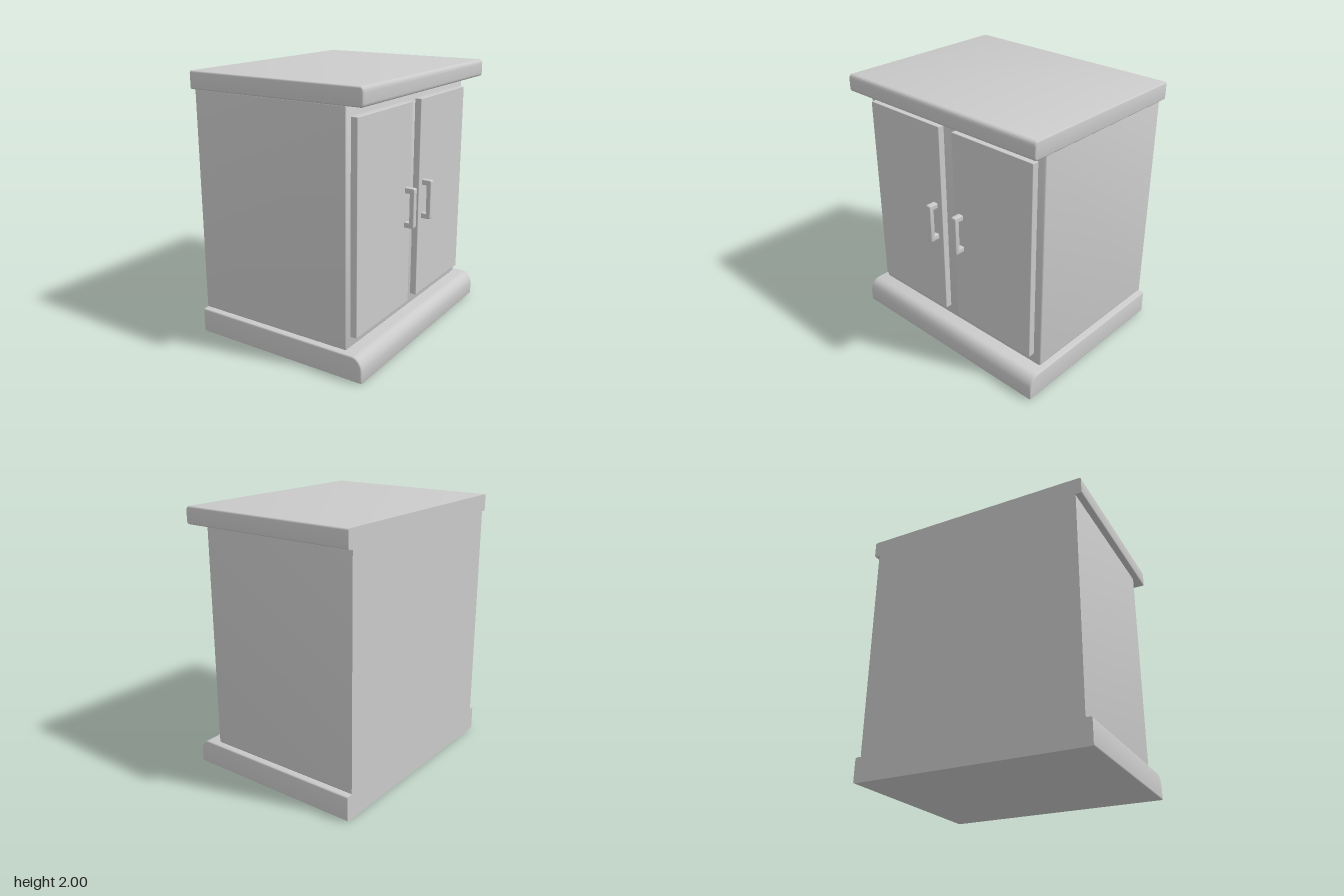
import * as THREE from 'three';
import { toCreasedNormals } from 'three/addons/utils/BufferGeometryUtils.js';
import { RoundedBoxGeometry } from 'three/addons/geometries/RoundedBoxGeometry.js';

const BACK = -0.71;
const material = new THREE.MeshStandardMaterial({ color: 0xcccccc });

function addMesh(parent, name, geometry) {
  const mesh = new THREE.Mesh(geometry, material);
  mesh.name = name;
  parent.add(mesh);
  return mesh;
}

// Extrudes an x-y profile along z, centred, with softened end edges
function extrudeProfile(shape, width, bevel) {
  const geometry = new THREE.ExtrudeGeometry(shape, {
    depth: width - 2 * bevel, curveSegments: 8,
    bevelEnabled: true, bevelSize: bevel, bevelThickness: bevel,
    bevelOffset: -bevel, bevelSegments: 3,
  });
  geometry.translate(0, 0, -width / 2 + bevel);
  return geometry;
}

// A block with a flat square back and rounded front edges
function block(front, bottom, top, width, lower, upper, bevel) {
  const s = new THREE.Shape();
  s.moveTo(BACK, bottom);
  s.lineTo(front - lower[0], bottom);
  s.quadraticCurveTo(front, bottom, front, bottom + lower[1]);
  s.lineTo(front, top - upper[1]);
  s.bezierCurveTo(front, top - upper[1] * 0.45, front - upper[0] * 0.45, top, front - upper[0], top);
  s.lineTo(BACK, top);
  s.closePath();
  const geometry = extrudeProfile(s, width, bevel);
  const p = geometry.attributes.position;
  for (let i = 0; i < p.count; i++) {
    if (p.getX(i) < BACK + 0.03) p.setX(i, BACK);
  }
  return toCreasedNormals(geometry, 0.6);
}

// C-shaped pull handle profile
function handleGeometry() {
  const x0 = 0.6, x1 = 0.68, y0 = 0.88, y1 = 1.18, r = 0.012;
  const s = new THREE.Shape();
  s.moveTo(x0, y0);
  s.lineTo(x1 - r, y0);
  s.quadraticCurveTo(x1, y0, x1, y0 + r);
  s.lineTo(x1, y1 - r);
  s.quadraticCurveTo(x1, y1, x1 - r, y1);
  s.lineTo(x0, y1);
  s.lineTo(x0, y1 - 0.04);
  s.lineTo(x1 - 0.036, y1 - 0.04);
  s.lineTo(x1 - 0.036, y0 + 0.04);
  s.lineTo(x0, y0 + 0.04);
  s.closePath();
  return toCreasedNormals(extrudeProfile(s, 0.044, 0.005), 0.6);
}

export function createModel() {
  const cabinet = new THREE.Group();
  cabinet.name = 'cabinet';

  // Plinth, carcass and top
  addMesh(cabinet, 'base', block(0.71, 0, 0.188, 1.79, [0.008, 0.008], [0.08, 0.1], 0.012));
  addMesh(cabinet, 'body', block(0.555, 0.186, 1.872, 1.7, [0.012, 0.012], [0.012, 0.012], 0.014));
  addMesh(cabinet, 'top', block(0.71, 1.87, 2, 1.79, [0.025, 0.03], [0.025, 0.035], 0.012));

  // Pair of doors with handles beside the centre gap
  for (const side of [1, -1]) {
    const door = new THREE.Group();
    door.name = side > 0 ? 'leftDoor' : 'rightDoor';
    const panel = addMesh(door, 'doorPanel', new RoundedBoxGeometry(0.065, 1.525, 0.726, 2, 0.005));
    panel.position.set(0.5725, 1.0275, side * 0.427);
    addMesh(door, 'handle', handleGeometry()).position.z = side * 0.131;
    cabinet.add(door);
  }
  return cabinet;
}
